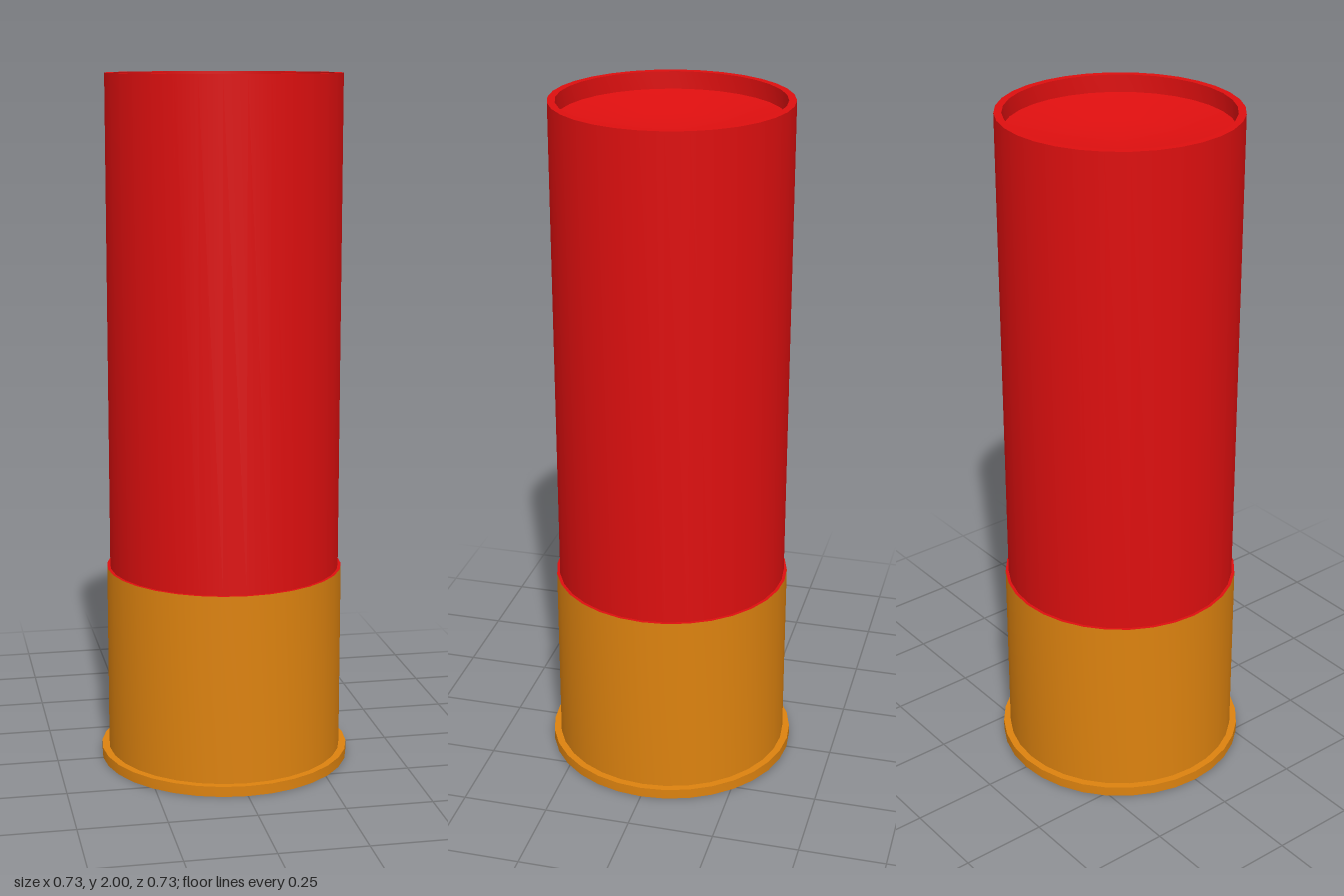
import * as THREE from 'three';
import { toCreasedNormals } from 'three/addons/utils/BufferGeometryUtils.js';

const SIDES = 32;

// Turned part from [radius, height] points, running from bottom to top
function turned(name, points, material) {
  const profile = points.map(([r, y]) => new THREE.Vector2(r, y));
  const geometry = toCreasedNormals(new THREE.LatheGeometry(profile, SIDES), 0.5);
  const mesh = new THREE.Mesh(geometry, material);
  mesh.name = name;
  return mesh;
}

export function createModel() {
  const red = new THREE.MeshStandardMaterial({ color: 0xdd0f0f });
  red.name = 'red plastic';
  const brass = new THREE.MeshStandardMaterial({ color: 0xdc820f });
  brass.name = 'brass';

  const group = new THREE.Group();
  group.name = 'cartridge';

  // Primer: disc with a round pit in its centre
  group.add(turned('primer', [
    [0, 0.05], [0.073, 0.05], [0.073, 0.004], [0.175, 0.004],
  ], brass));

  // Brass head: bevelled primer seat, flat base, flange and straight wall
  group.add(turned('brassHead', [
    [0.175, 0.004], [0.204, 0], [0.365, 0], [0.365, 0.03], [0.344, 0.03], [0.344, 0.58],
  ], brass));

  // Plastic tube: small step on the brass, wall, flat lip and inner wall
  group.add(turned('tube', [
    [0.344, 0.58], [0.335, 0.58], [0.335, 2], [0.314, 2], [0.314, 1.95],
  ], red));

  // Sunken end closure, dished towards the centre
  group.add(turned('endClosure', [
    [0.314, 1.95], [0.16, 1.922], [0, 1.9],
  ], red));

  return group;
}
